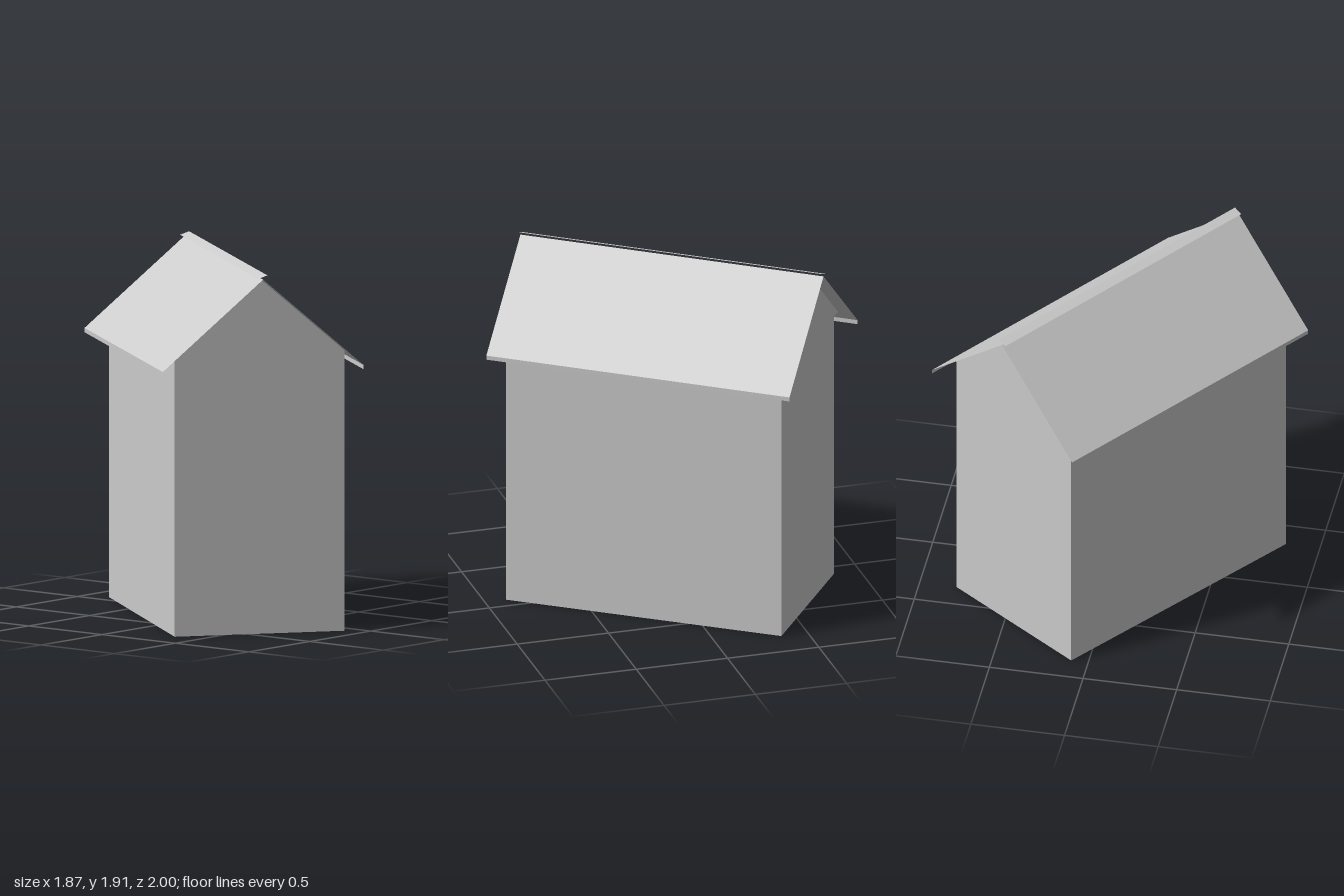
import * as THREE from 'three';

const EAVE = 0.542, ROOF_Z = 0.841, RIDGE_Y = 1.885, EAVE_Y = 1.415;
const WALL_W = 0.458, WALL_Z = 0.762, WALL_Y = 1.485;

function polygon(points) {
  return new THREE.Shape(points.map(([x, y]) => new THREE.Vector2(x, y)));
}

// Open sheet: a line across the building swept along its length
function sheet([x0, y0], [x1, y1]) {
  const geometry = new THREE.PlaneGeometry(1, 1);
  const p = geometry.attributes.position;
  for (let i = 0; i < p.count; i++) {
    const t = p.getX(i) + 0.5;
    p.setXYZ(i, x0 + (x1 - x0) * t, y0 + (y1 - y0) * t, -p.getY(i) * 2 * ROOF_Z);
  }
  geometry.computeVertexNormals();
  return geometry;
}

export function createModel() {
  const solid = new THREE.MeshStandardMaterial({ color: 0xcccccc, flatShading: true });
  const thin = new THREE.MeshStandardMaterial({ color: 0xcccccc, flatShading: true, side: THREE.DoubleSide });

  const house = new THREE.Group();
  house.name = 'house';
  const add = (name, geometry, material) => {
    const mesh = new THREE.Mesh(geometry, material);
    mesh.name = name;
    house.add(mesh);
  };

  // Walls: footprint narrows slightly towards the back
  const footprint = polygon([[-WALL_W, -WALL_Z], [WALL_W, -WALL_Z], [0.438, 0.76], [-0.434, 0.748]]);
  const walls = new THREE.ExtrudeGeometry(footprint, { depth: WALL_Y, bevelEnabled: false });
  walls.rotateX(-Math.PI / 2);
  add('walls', walls, solid);

  // Gable block filling the space under the roof
  const gable = new THREE.ExtrudeGeometry(
    polygon([[-WALL_W, WALL_Y], [WALL_W, WALL_Y], [0, RIDGE_Y - 0.004]]),
    { depth: 2 * WALL_Z, bevelEnabled: false });
  gable.translate(0, 0, -WALL_Z);
  add('gables', gable, solid);

  // Roof slopes with a narrow fascia along each eave
  for (const [side, s] of [['left', 1], ['right', -1]]) {
    const ridge = [0, RIDGE_Y], eave = [s * EAVE, EAVE_Y], drip = [s * EAVE, EAVE_Y - 0.023];
    const faces = s > 0 ? [[ridge, eave], [eave, drip]] : [[eave, ridge], [drip, eave]];
    add(side + 'RoofSlope', sheet(...faces[0]), thin);
    add(side + 'Fascia', sheet(...faces[1]), thin);
  }

  // Tilted ridge strip just above the ridge
  add('ridgeStrip', sheet([-0.025, 1.89], [0.023, 1.907]), thin);

  // The house stands diagonally
  house.rotation.y = -0.631;
  const model = new THREE.Group();
  model.add(house);
  return model;
}
